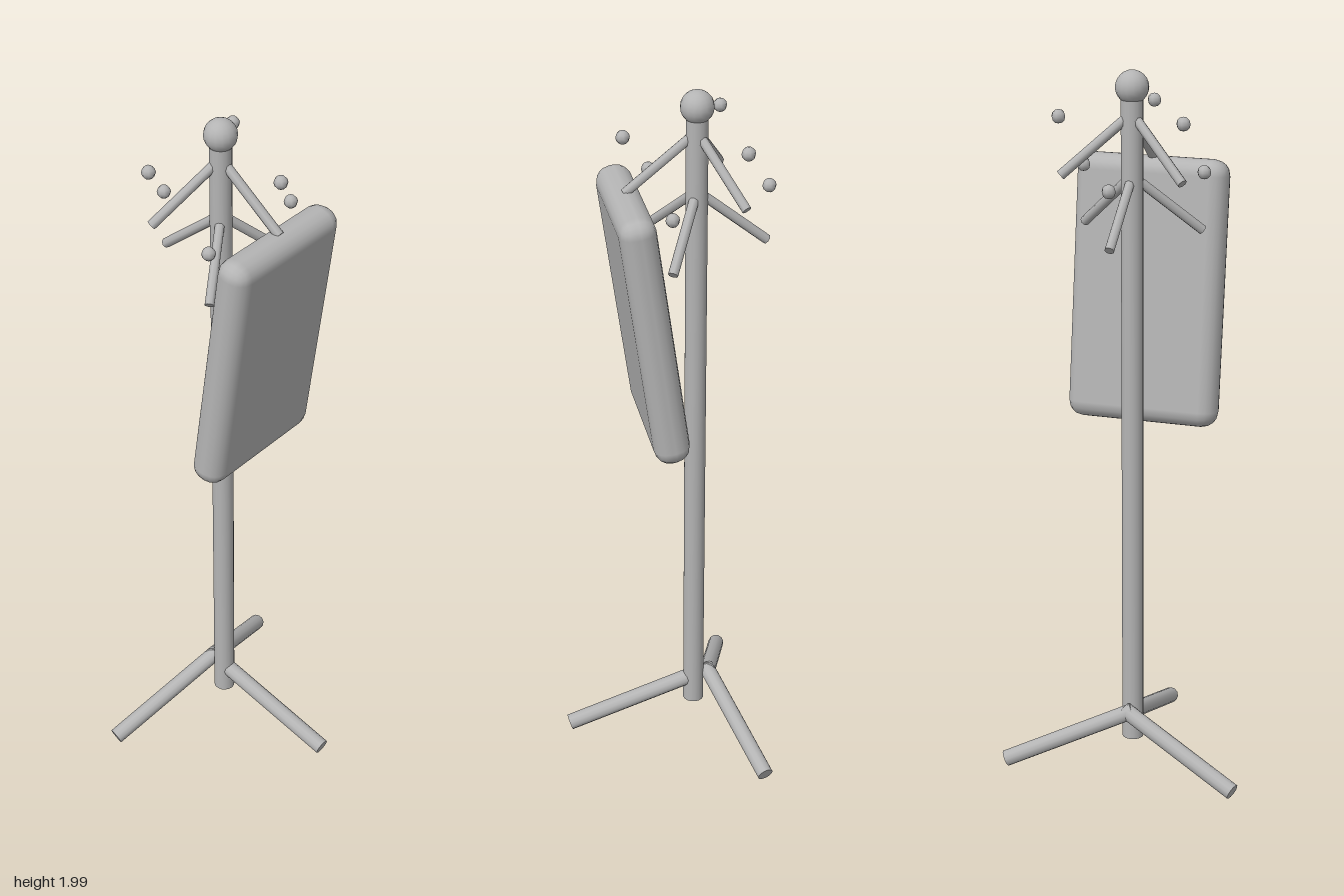
import * as THREE from 'three';
import { RoundedBoxGeometry } from 'three/addons/geometries/RoundedBoxGeometry.js';

const UP = new THREE.Vector3(0, 1, 0);
const POLE_X = -0.084;

export function createModel() {
  const model = new THREE.Group();
  model.name = 'coatStand';
  const grey = new THREE.MeshStandardMaterial({ color: 0xb4b4b4 });
  grey.name = 'plain grey';

  function add(name, geometry, x, y, z) {
    const mesh = new THREE.Mesh(geometry, grey);
    mesh.name = name;
    mesh.position.set(x, y, z);
    model.add(mesh);
    return mesh;
  }

  // Straight round bar between two points
  function rod(name, from, to, radius, sides) {
    const a = new THREE.Vector3(...from);
    const d = new THREE.Vector3(...to).sub(a);
    const geometry = new THREE.CylinderGeometry(radius, radius, d.length(), sides);
    const mid = a.clone().addScaledVector(d, 0.5);
    const mesh = add(name, geometry, mid.x, mid.y, mid.z);
    mesh.quaternion.setFromUnitVectors(UP, d.normalize());
  }

  // Pole and finial
  rod('pole', [POLE_X, 0.085, 0], [POLE_X, 1.94, 0], 0.03, 16);
  add('finial', new THREE.SphereGeometry(0.045, 16, 12), POLE_X, 1.955, 0);

  // Three splayed legs
  rod('sideLeg', [-0.084, 0.163, 0], [0.287, 0.041, 0], 0.023, 12);
  for (const s of [1, -1]) {
    rod('backLeg', [-0.124, 0.18, -0.012 * s], [-0.227, 0.027, 0.336 * s], 0.023, 12);
  }

  // Six pegs in two alternating tiers, each with a floating knob
  for (let i = 0; i < 6; i++) {
    const a = (i * Math.PI) / 3;
    const y = i % 2 === 0 ? 1.886 : 1.719;
    const c = Math.cos(a), s = Math.sin(a);
    rod('peg', [POLE_X, y, 0], [POLE_X + 0.193 * c, y - 0.157, 0.193 * s], 0.0135, 8);
    add('knob', new THREE.SphereGeometry(0.019, 8, 6), POLE_X + 0.196 * c, y, 0.196 * s);
  }

  // Padded coat panel hanging from the side peg
  const panel = add('hangingCoat', new RoundedBoxGeometry(0.1, 0.735, 0.428, 2, 0.045), 0.061, 1.37, 0);
  panel.rotation.z = THREE.MathUtils.degToRad(-8);

  return model;
}
